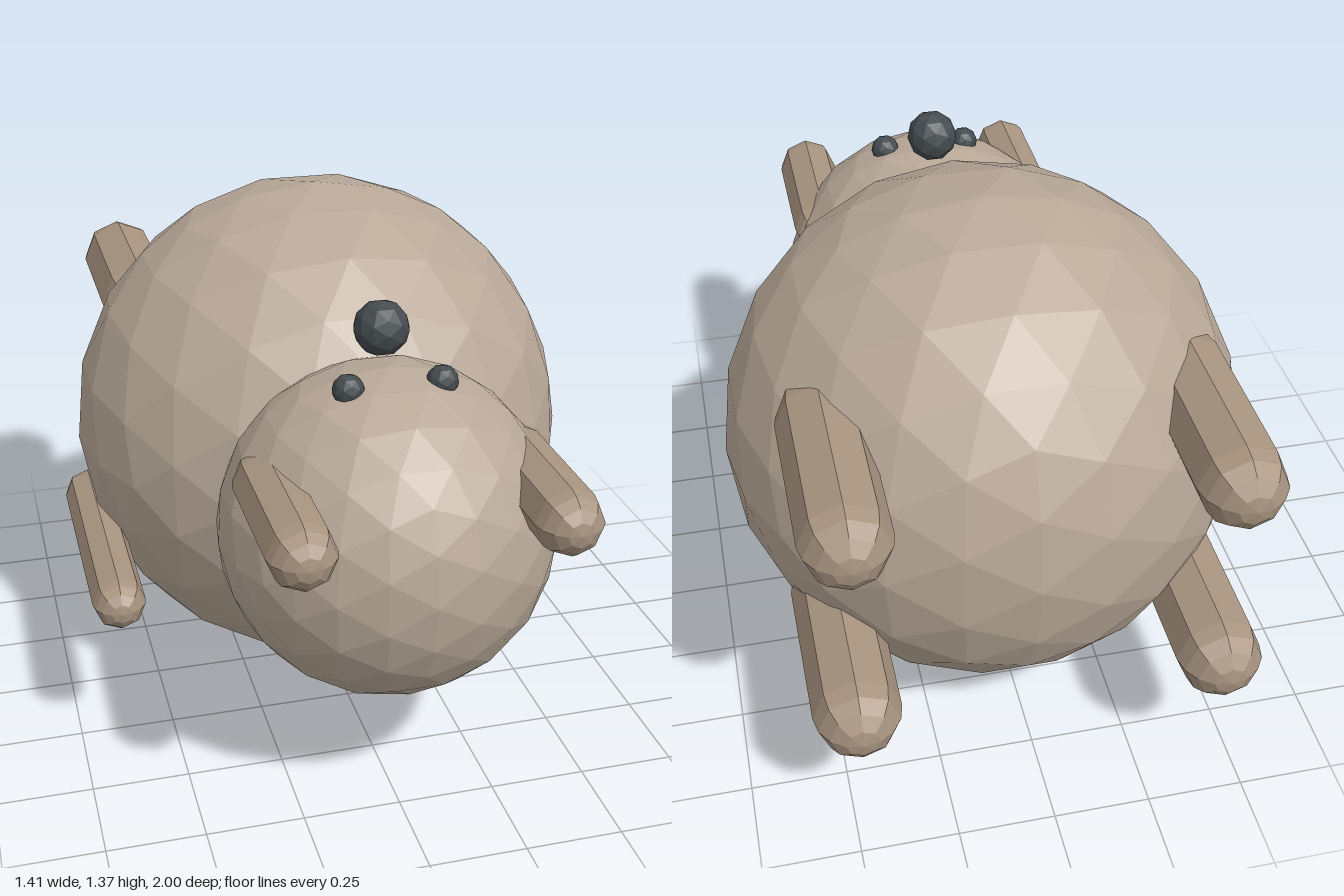
import * as THREE from 'three';

const MID_X = 0.02;
const MID_Y = 0.685;

const matte = (color) => new THREE.MeshStandardMaterial({ color, flatShading: true });

export function createModel() {
  const model = new THREE.Group();
  model.name = 'animal';
  const wool = matte(0xb8a898);
  const limb = matte(0xa89480);
  const dark = matte(0x444b4e);

  // Faceted ball
  function ball(name, radius, detail, material, x, y, z) {
    const mesh = new THREE.Mesh(new THREE.IcosahedronGeometry(radius, detail), material);
    mesh.name = name;
    mesh.position.set(MID_X + x, y, z);
    model.add(mesh);
  }

  // Eight-sided capsule lying along z, between two end positions
  function rod(name, radius, x, y, zBack, zFront) {
    const geometry = new THREE.CapsuleGeometry(radius, zFront - zBack - 2 * radius, 4, 8);
    geometry.rotateX(Math.PI / 2);
    const mesh = new THREE.Mesh(geometry, limb);
    mesh.name = name;
    mesh.position.set(MID_X + x, y, (zBack + zFront) / 2);
    model.add(mesh);
  }

  // Body and head
  ball('body', 0.683, 3, wool, 0, MID_Y, -0.19);
  ball('head', 0.425, 3, wool, 0, MID_Y, 0.52);

  // Nose
  ball('nose', 0.07, 1, dark, 0, 1.185, 0.455);

  // Mirrored eyes, ears and legs
  for (const [side, s] of [['left', 1], ['right', -1]]) {
    ball(`${side}Eye`, 0.04, 1, dark, s * 0.116, 1.086, 0.58);
    rod(`${side}Ear`, 0.083, s * 0.313, 0.858, 0.48, 1.0);
    rod(`${side}UpperLeg`, 0.109, s * 0.456, 0.97, -1.0, -0.36);
    rod(`${side}LowerLeg`, 0.109, s * 0.456, 0.402, -1.0, -0.36);
  }

  // Tail along the right flank
  rod('tail', 0.068, -0.657, 0.46, -0.35, 0.42);

  return model;
}
